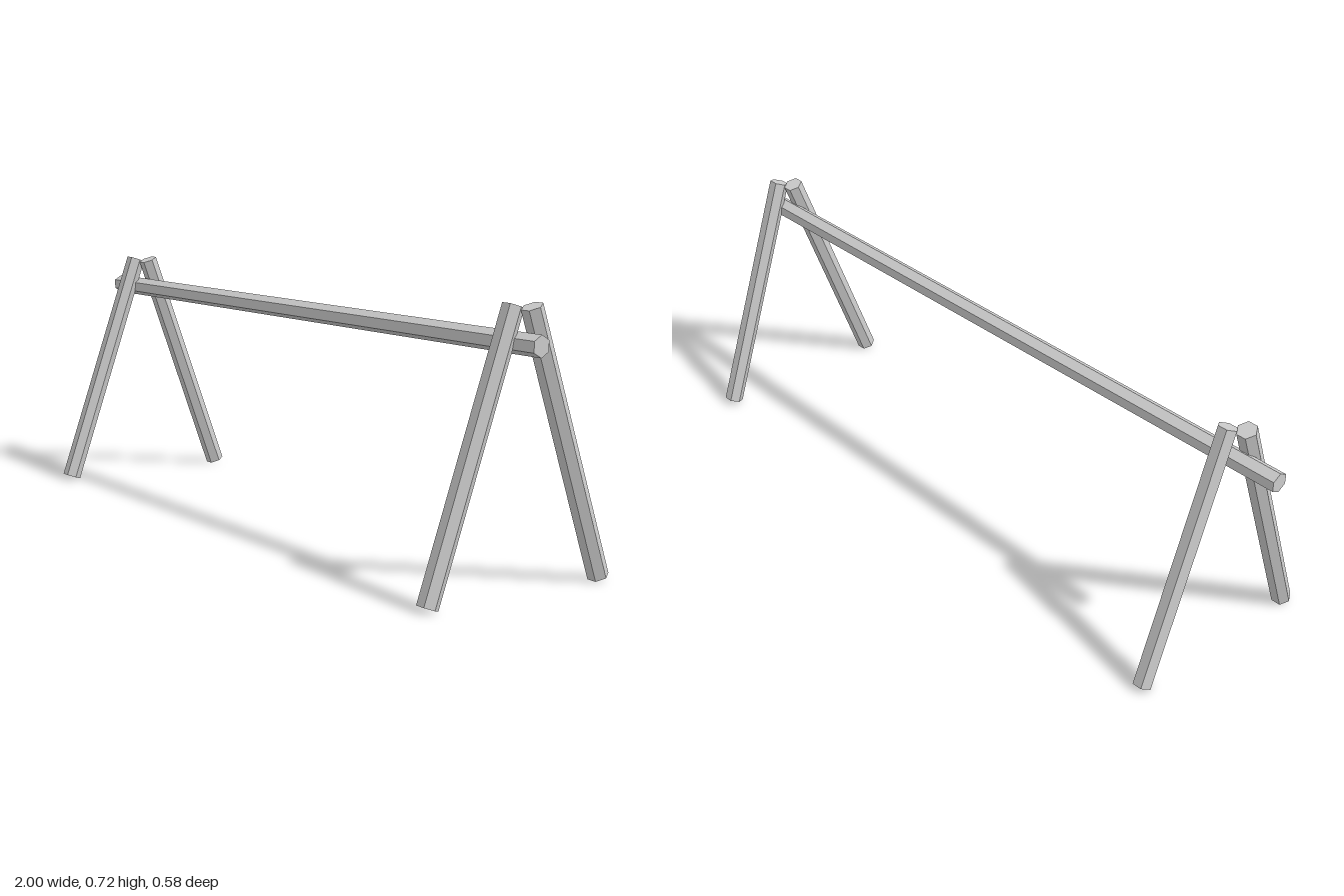
import * as THREE from 'three';

const RADIUS = 0.028;

// Six-sided pole along y, with edges facing +x and -x
function pole(name, length, material) {
  const geometry = new THREE.CylinderGeometry(RADIUS, RADIUS, length, 6);
  geometry.rotateY(Math.PI / 6);
  const mesh = new THREE.Mesh(geometry, material);
  mesh.name = name;
  return mesh;
}

export function createModel() {
  const group = new THREE.Group();
  group.name = 'poleFrame';
  const material = new THREE.MeshStandardMaterial({ color: 0xcccccc, flatShading: true });

  // Long crossbar resting in the crossed legs
  const crossbar = pole('crossbar', 2, material);
  crossbar.rotation.z = Math.PI / 2;
  crossbar.position.y = 0.62;
  group.add(crossbar);

  // Pairs of leaning legs, the back one set beside the front one
  const top = 0.71, bottom = 0.009, topZ = 0.011, bottomZ = 0.2655;
  const length = Math.hypot(top - bottom, bottomZ - topZ);
  const lean = Math.atan2(bottomZ - topZ, top - bottom);
  for (const [side, x] of [['right', -0.861], ['left', 0.933]]) {
    const trestle = new THREE.Group();
    trestle.name = side + 'Trestle';
    trestle.position.x = x;
    for (const [end, sign] of [['Front', 1], ['Back', -1]]) {
      const leg = pole(side + end + 'Leg', length, material);
      leg.rotation.x = -sign * lean;
      leg.position.set(-sign * 0.0205, (top + bottom) / 2, sign * (topZ + bottomZ) / 2);
      trestle.add(leg);
    }
    group.add(trestle);
  }
  return group;
}
